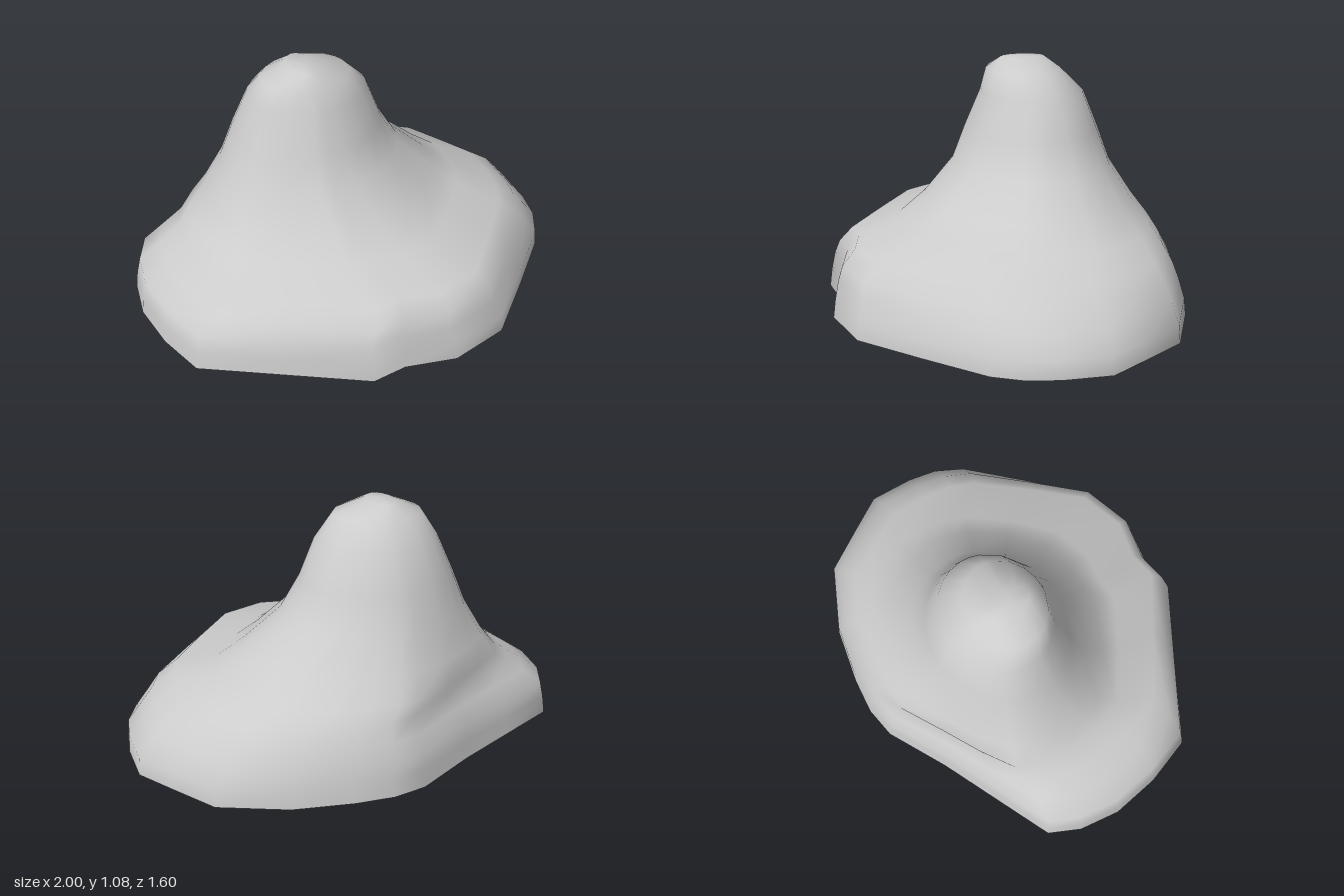
import * as THREE from 'three';

// Footprint outline as [x, z]
const OUTLINE = [
  [-1, -0.08], [-0.97, -0.27], [-0.9, -0.41], [-0.63, -0.525], [-0.36, -0.64], [-0.08, -0.78],
  [0.07, -0.8], [0.24, -0.78], [0.5, -0.72], [0.78, -0.58], [0.9, -0.38], [1, -0.21], [0.99, 0],
  [0.96, 0.14], [0.89, 0.27], [0.66, 0.5], [0.42, 0.73], [0.15, 0.8], [-0.08, 0.75],
  [-0.24, 0.77], [-0.57, 0.57], [-0.9, 0.37], [-0.97, 0.15],
];

// Horizontal sections: y, xMin, xMax, zMin, zMax, share of footprint shape (rest is an ellipse)
const SECTIONS = [
  [0, -1, 1, -0.8, 0.8, 1],
  [0.08, -0.99, 0.995, -0.79, 0.79, 1],
  [0.16, -0.97, 0.93, -0.775, 0.77, 1],
  [0.23, -0.87, 0.87, -0.75, 0.75, 1],
  [0.3, -0.77, 0.77, -0.715, 0.69, 0.95],
  [0.36, -0.69, 0.6, -0.685, 0.45, 0.7],
  [0.45, -0.62, 0.48, -0.62, 0.33, 0.4],
  [0.6, -0.53, 0.31, -0.53, 0.19, 0.15],
  [0.75, -0.47, 0.22, -0.48, 0.13, 0],
  [0.92, -0.395, 0.155, -0.41, 0.06, 0],
  [1.02, -0.34, 0.06, -0.31, 0.03, 0],
  [1.07, -0.22, -0.1, -0.24, -0.04, 0],
];
const APEX = [-0.16, 1.075, -0.13];

function sectionPoint([y, x0, x1, z0, z1, share], [ox, oz]) {
  const u = ox, v = oz / 0.8;
  const a = Math.atan2(v, u);
  const px = THREE.MathUtils.lerp(Math.cos(a), u, share);
  const pz = THREE.MathUtils.lerp(Math.sin(a), v, share);
  return [(x0 + x1) / 2 + px * (x1 - x0) / 2, y, (z0 + z1) / 2 + pz * (z1 - z0) / 2];
}

function moundGeometry() {
  const n = OUTLINE.length, rows = SECTIONS.length;
  const positions = [], index = [];
  for (const section of SECTIONS)
    for (const p of OUTLINE) positions.push(...sectionPoint(section, p));
  positions.push(...APEX);
  for (let r = 0; r < rows; r++) {
    for (let i = 0; i < n; i++) {
      const a = r * n + i, b = r * n + (i + 1) % n;
      if (r === rows - 1) index.push(a, rows * n, b);
      else index.push(a, a + n, b, b, a + n, b + n);
    }
  }
  const geometry = new THREE.BufferGeometry();
  geometry.setAttribute('position', new THREE.Float32BufferAttribute(positions, 3));
  geometry.setIndex(index);
  geometry.computeVertexNormals();
  return geometry;
}

export function createModel() {
  const group = new THREE.Group();
  group.name = 'rockMound';
  const material = new THREE.MeshStandardMaterial({ color: 0xcccccc });

  // Sloping rock with its off-centre peak
  const rock = new THREE.Mesh(moundGeometry(), material);
  rock.name = 'rock';

  // Flat underside
  const shape = new THREE.Shape(OUTLINE.map(([x, z]) => new THREE.Vector2(x, z)));
  const underside = new THREE.Mesh(new THREE.ShapeGeometry(shape).rotateX(Math.PI / 2), material);
  underside.name = 'underside';

  group.add(rock, underside);
  return group;
}
